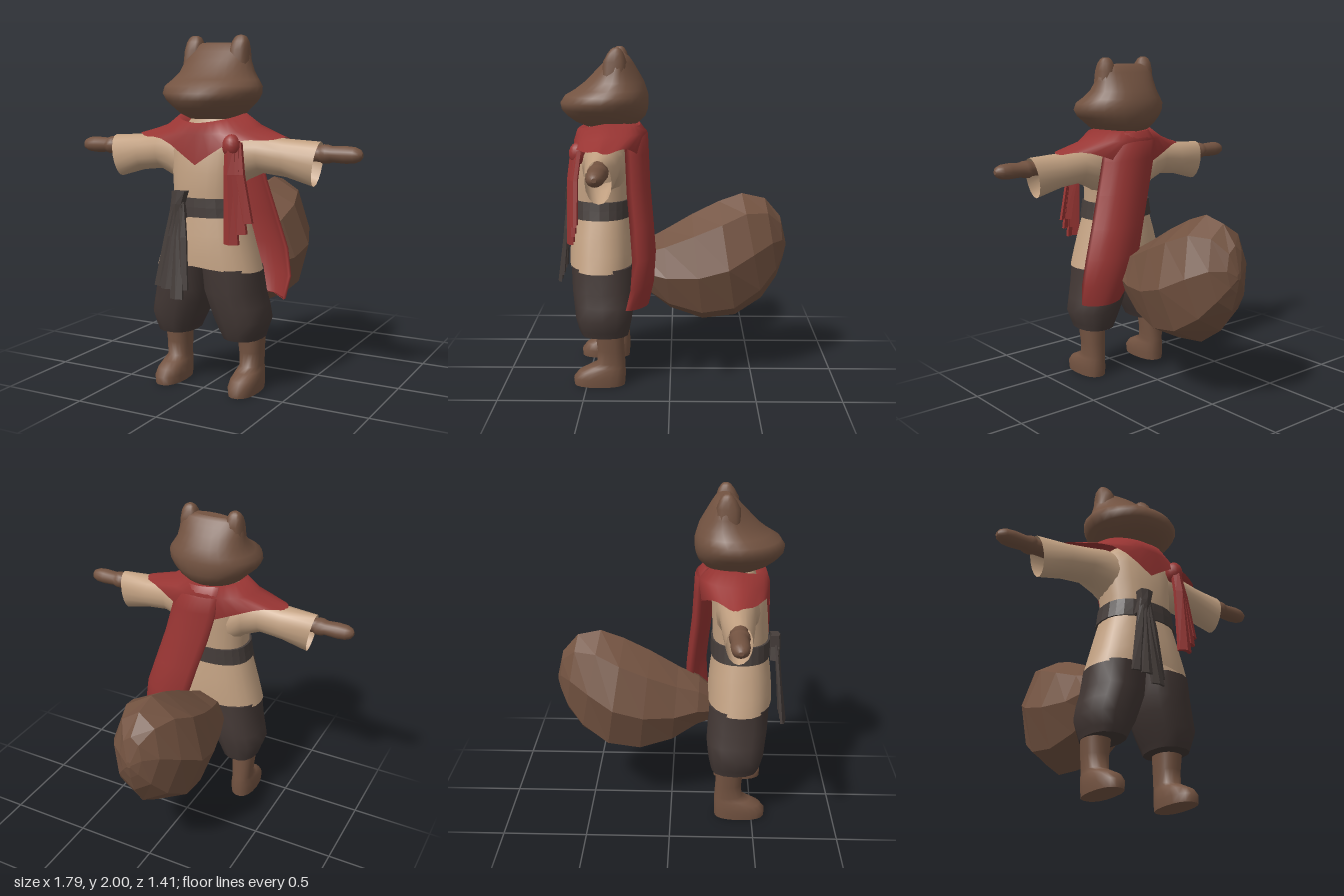
import * as THREE from 'three';

const BROWN = 0x735341, TAN = 0xc2a182, RED = 0x983533, DARK = 0x423734, SASH = 0x453d3a;
const V = (x, y, z) => new THREE.Vector3(x, y, z);
const range = (n, f) => Array.from({ length: n }, (_, i) => f(i));
const pow = (v, e) => Math.sign(v) * Math.abs(v) ** e;

// Skin a stack of closed point loops; optional fan caps keep a hard edge.
function loft(name, color, rings, { capA = true, capB = true, flat = false } = {}) {
  const n = rings[0].length, pos = [], idx = [];
  const put = p => pos.push(p.x, p.y, p.z) / 3 - 1;
  rings.forEach(r => r.forEach(put));
  for (let j = 0; j < rings.length - 1; j++) {
    for (let i = 0; i < n; i++) {
      const a = j * n + i, b = j * n + (i + 1) % n;
      idx.push(a, a + n, b, b, a + n, b + n);
    }
  }
  const cap = (ring, flip) => {
    const c = put(ring.reduce((s, p) => s.add(p), V(0, 0, 0)).divideScalar(n));
    const k = ring.map(put);
    k.forEach((a, i) => {
      const b = k[(i + 1) % n];
      flip ? idx.push(c, b, a) : idx.push(c, a, b);
    });
  };
  if (capA) cap(rings[0], false);
  if (capB) cap(rings[rings.length - 1], true);
  const g = new THREE.BufferGeometry();
  g.setAttribute('position', new THREE.Float32BufferAttribute(pos, 3));
  g.setIndex(idx);
  g.computeVertexNormals();
  const mesh = new THREE.Mesh(g, new THREE.MeshStandardMaterial({
    color, flatShading: flat, side: THREE.DoubleSide,
  }));
  mesh.name = name;
  return mesh;
}

// Horizontal loop spanning x0..x1 and z0..z1; e < 1 squares it, taper narrows its front.
function level(y, x0, x1, z0, z1, n = 20, e = 1, taper = 0) {
  return range(n, i => {
    const a = i / n * Math.PI * 2, c = pow(Math.cos(a), e), s = pow(Math.sin(a), e);
    const k = 1 - taper * Math.max(0, s);
    return V((x0 + x1) / 2 + (x1 - x0) / 2 * c * k, y, (z0 + z1) / 2 + (z1 - z0) / 2 * s);
  });
}

// Loop across a limb that runs along +x; slant leans its upper edge outwards.
function across(x, y0, y1, z0, z1, slant = 0, n = 16) {
  return range(n, i => {
    const a = i / n * Math.PI * 2, s = Math.sin(a);
    return V(x + slant * s, (y0 + y1) / 2 + (y1 - y0) / 2 * s, (z0 + z1) / 2 + (z1 - z0) / 2 * Math.cos(a));
  });
}

// Hanging strip of cloth from rows of [x, y, z, width], folded along its middle.
function strip(name, color, rows, thick = 0.022, fold = 0.02) {
  return loft(name, color, rows.map(([x, y, z, w]) => {
    const h = w / 2, t = thick / 2;
    return [V(x + h, y, z - t), V(x, y, z - t + fold), V(x - h, y, z - t),
      V(x - h, y, z + t), V(x, y, z + t + fold), V(x + h, y, z + t)].reverse();
  }).reverse(), { flat: true });
}

function createHead() {
  const head = new THREE.Group();
  head.name = 'head';
  const rows = [
    [1.54, 0.14, 0.22, 0.50], [1.565, 0.18, 0.185, 0.56], [1.60, 0.215, 0.15, 0.61], [1.64, 0.26, 0.135, 0.645],
    [1.68, 0.285, 0.13, 0.652], [1.72, 0.283, 0.13, 0.625], [1.755, 0.255, 0.14, 0.565], [1.80, 0.222, 0.155, 0.505],
    [1.86, 0.205, 0.19, 0.445], [1.91, 0.195, 0.22, 0.395], [1.945, 0.17, 0.245, 0.36], [1.96, 0.11, 0.27, 0.335]];
  head.add(loft('skull', BROWN, rows.map(([y, r, a, b]) => level(y, -r, r, a, b, 28, 0.92, 0.12))));
  for (const s of [1, -1]) {
    // Rounded ear with a small cupped front
    head.add(loft(s > 0 ? 'leftEar' : 'rightEar', BROWN, [
      [1.84, 0.09, 0.205, 0.25, 0.39], [1.92, 0.09, 0.197, 0.25, 0.385], [1.965, 0.10, 0.19, 0.265, 0.36],
      [1.99, 0.113, 0.177, 0.28, 0.34], [2.0, 0.13, 0.16, 0.295, 0.325],
    ].map(([y, a, b, c, d]) => level(y, s > 0 ? a : -b, s > 0 ? b : -a, c, d, 12, 0.8))));
  }
  return head;
}

// Arm, sleeve, trouser leg and foot of the left side
function createLimbs() {
  const side = new THREE.Group();
  side.add(loft('sleeve', TAN, [
    across(0.13, 1.12, 1.46, 0.26, 0.52), across(0.22, 1.20, 1.475, 0.26, 0.51), across(0.32, 1.245, 1.46, 0.275, 0.485),
    across(0.46, 1.23, 1.44, 0.285, 0.47), across(0.64, 1.185, 1.43, 0.305, 0.45, 0.02),
  ], { capB: false }));
  side.add(loft('armAndHand', BROWN, [
    [0.45, 0.045], [0.655, 0.043], [0.675, 0.052], [0.70, 0.051], [0.725, 0.043], [0.80, 0.047],
    [0.85, 0.043], [0.88, 0.03], [0.893, 0.012],
  ].map(([x, r]) => across(x, 1.365 - r, 1.365 + r, 0.375 - r * 1.1, 0.375 + r * 1.1))));
  side.add(loft('trouserLeg', DARK, [
    [0.31, 0.10, 0.325, 0.25, 0.53], [0.345, 0.085, 0.335, 0.24, 0.545], [0.42, 0.045, 0.362, 0.225, 0.565],
    [0.50, 0.015, 0.345, 0.215, 0.575], [0.58, -0.01, 0.325, 0.22, 0.585], [0.72, -0.02, 0.305, 0.23, 0.59],
  ].map(([y, a, b, c, d]) => level(y, a, b, c, d, 14, 0.85))));
  side.add(loft('legAndFoot', BROWN, [
    [0, 0.078, 0.272, 0.578], [0.045, 0.082, 0.268, 0.582], [0.085, 0.078, 0.268, 0.55], [0.115, 0.07, 0.268, 0.49],
    [0.14, 0.064, 0.27, 0.44], [0.22, 0.069, 0.275, 0.435], [0.35, 0.08, 0.28, 0.45],
  ].map(([y, r, a, b]) => level(y, 0.24 - r, 0.24 + r, a, b, 18, 0.85))));
  return side;
}

function createTunic() {
  const tunic = new THREE.Group();
  tunic.name = 'tunic';
  const body = rows => rows.map(([y, r, a, b]) => level(y, -r, r, a, b, 24, 0.85));
  tunic.add(loft('tunicTop', TAN, body([
    [1.04, 0.205, 0.25, 0.575], [1.15, 0.205, 0.245, 0.58], [1.25, 0.215, 0.24, 0.572], [1.36, 0.225, 0.235, 0.56],
    [1.43, 0.22, 0.24, 0.535], [1.49, 0.16, 0.255, 0.495], [1.56, 0.10, 0.27, 0.48]])));
  const skirt = body([[0.70, 0.318, 0.22, 0.612], [0.80, 0.288, 0.222, 0.61], [0.90, 0.258, 0.23, 0.60], [1.03, 0.218, 0.245, 0.58]]);
  skirt[0].forEach(p => { p.y += 0.035 * (1 - Math.abs(p.x) / 0.318); });
  tunic.add(loft('tunicSkirt', TAN, skirt, { capA: false }));
  tunic.add(loft('belt', SASH, body([[1.005, 0.236, 0.235, 0.592], [1.06, 0.226, 0.235, 0.592], [1.11, 0.218, 0.235, 0.59]]), { flat: true }));
  return tunic;
}

function createScarf() {
  const scarf = new THREE.Group();
  scarf.name = 'scarf';
  // Shawl: pointed over the shoulders, dipping at the front and back
  const shawl = [[], [], [], []];
  range(36, i => {
    const a = i / 36 * Math.PI * 2, c = Math.cos(a), s = Math.sin(a), back = s < 0;
    const hem = 1.30 + 0.14 * Math.sin(Math.PI / 2 * Math.min(1, Math.abs(c) / 0.75));
    shawl[0].push(V(0.48 * c, hem + 0.008 * Math.sin(7 * a), 0.375 + 0.205 * pow(s, 1.4)));
    shawl[1].push(V(0.285 * c, 1.505 - 0.045 * Math.max(0, s), 0.375 + (back ? 0.235 : 0.2) * s));
    shawl[2].push(V(0.195 * c, 1.555 + 0.015 * Math.abs(c) - 0.035 * Math.max(0, s), 0.375 + 0.18 * s));
    shawl[3].push(V(0.14 * c, 1.50, 0.375 + 0.12 * s));
  });
  scarf.add(loft('shawl', RED, shawl, { capA: false, capB: false }));
  // Broad drape down the back, swinging to the left, crescent in section
  const drape = [[0.53, 0.18, 0.39, 0.125], [0.66, 0.11, 0.41, 0.095], [0.82, 0.06, 0.385, 0.085], [1.0, 0.01, 0.33, 0.10],
    [1.2, -0.05, 0.27, 0.12], [1.4, -0.10, 0.22, 0.13], [1.5, -0.11, 0.2, 0.135], [1.56, -0.10, 0.18, 0.18]];
  scarf.add(loft('backDrape', RED, drape.map(([y, x0, x1, z]) => range(20, i => {
    const outer = i < 10, t = outer ? 1 - i / 9 : (i - 10) / 9;
    const bow = Math.sin(Math.PI * Math.min(1, t * 0.85 + 0.15)) ** 0.7;
    return V(x0 + (x1 - x0) * t, y - 0.02 * t, z + 0.10 * (1 - bow) * (t > 0.4 ? 1 : 0.5) + (outer ? 0 : 0.03));
  }).reverse())));
  // Knot and pleated tails at the front
  const knot = new THREE.Mesh(new THREE.SphereGeometry(1, 14, 10), new THREE.MeshStandardMaterial({ color: RED }));
  knot.name = 'scarfKnot';
  knot.scale.set(0.052, 0.065, 0.05);
  knot.position.set(0.205, 1.40, 0.535);
  scarf.add(knot);
  [[0.225, 0.87, 0.575, 0.085], [0.265, 0.93, 0.56, 0.09], [0.30, 0.99, 0.545, 0.075]].forEach(([x, y, z, w], i) => {
    scarf.add(strip('scarfTail' + (i + 1), RED, [[0.205 + i * 0.012, 1.42, 0.545 - i * 0.012, 0.06],
      [0.212 + i * 0.02, 1.25, 0.568 - i * 0.012, 0.068], [x, y, z, w]]));
  });
  return scarf;
}

function createSash() {
  const sash = new THREE.Group();
  sash.name = 'sash';
  sash.add(strip('sashKnot', SASH, [[-0.075, 1.15, 0.61, 0.08], [-0.085, 1.08, 0.615, 0.06], [-0.09, 1.0, 0.61, 0.09]], 0.05, 0.01));
  [[-0.175, 0.62, 0.665, 0.075], [-0.125, 0.61, 0.68, 0.07], [-0.06, 0.56, 0.685, 0.08], [-0.03, 0.61, 0.665, 0.06]].forEach(([x, y, z, w], i) => {
    sash.add(strip('sashTail' + (i + 1), SASH, [[-0.10 + i * 0.012, 1.09, 0.62, 0.04],
      [-0.13 + i * 0.027, 0.9, 0.64, 0.058], [x, y, z, w]], 0.014, 0.012));
  });
  return sash;
}

// Big faceted tail: rows of lower z, y, upper z, y and half width
function createTail() {
  const rows = [[0.25, 0.56, 0.27, 0.74, 0.12], [0.15, 0.52, 0.17, 0.83, 0.18], [0, 0.405, 0.04, 0.90, 0.222],
    [-0.2, 0.335, -0.13, 1.0, 0.272], [-0.4, 0.36, -0.29, 1.08, 0.285], [-0.56, 0.47, -0.43, 1.13, 0.225],
    [-0.65, 0.61, -0.57, 1.10, 0.15], [-0.685, 0.72, -0.665, 0.99, 0.07], [-0.702, 0.80, -0.70, 0.84, 0.015]];
  return loft('tail', BROWN, rows.map(([z0, y0, z1, y1, r]) => range(8, i => {
    const a = i / 8 * Math.PI * 2, t = (1 + Math.sin(a)) / 2;
    return V(r * Math.cos(a), y0 + (y1 - y0) * t, z0 + (z1 - z0) * t);
  })), { flat: true });
}

export function createModel() {
  const model = new THREE.Group();
  model.name = 'clothedAnimal';
  const left = createLimbs(), right = createLimbs();
  left.name = 'leftLimbs';
  right.name = 'rightLimbs';
  right.scale.x = -1;
  model.add(createHead(), createTunic(), left, right, createScarf(), createSash(), createTail());
  return model;
}
